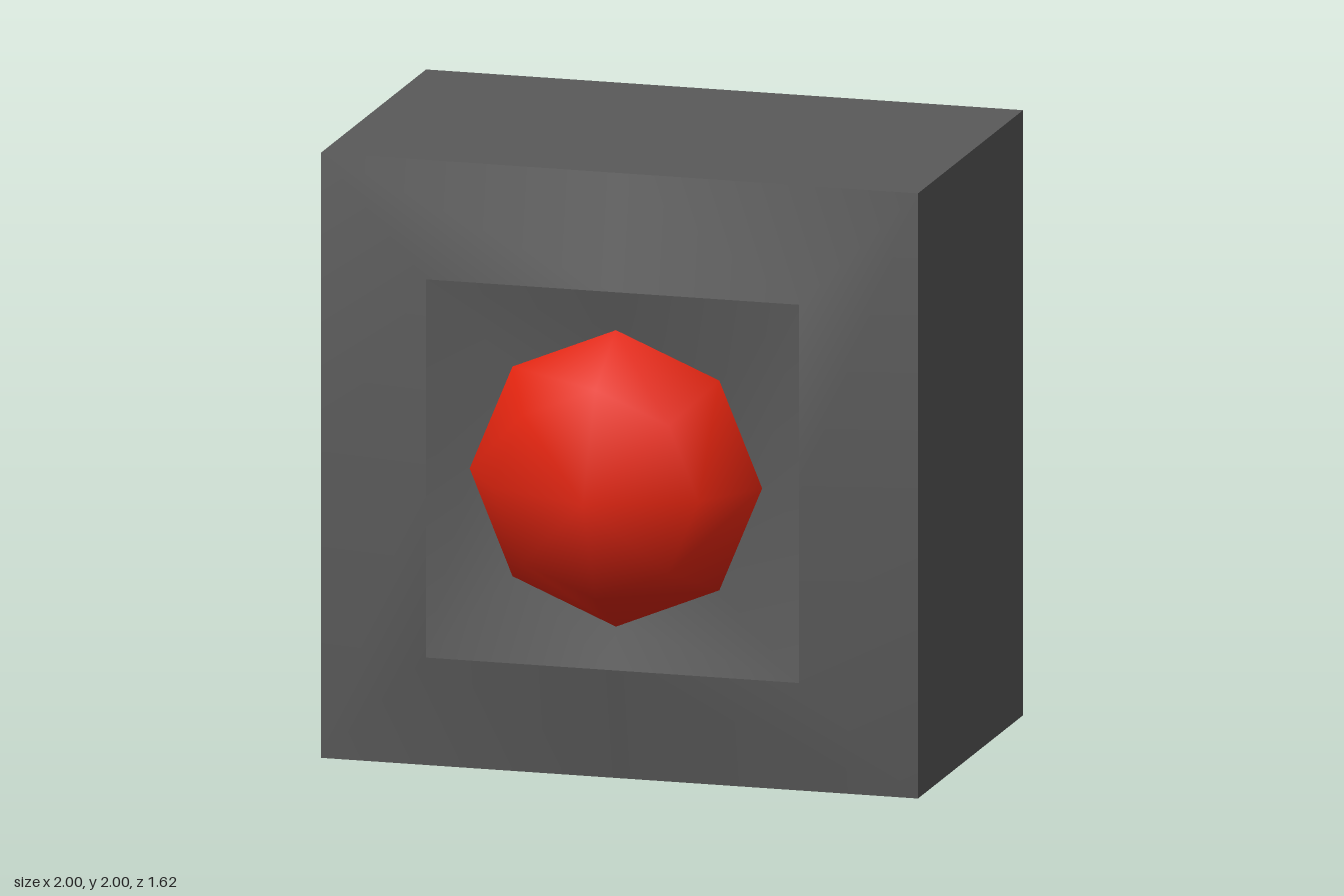
import * as THREE from 'three';
import { mergeVertices } from 'three/addons/utils/BufferGeometryUtils.js';

const CY = 1; // height of the button axis

// Eight points around the z axis, on a square or an octagon
function ring(r, z, square = false) {
  return Array.from({ length: 8 }, (_, i) => {
    const a = i * Math.PI / 4;
    const s = square && i % 2 ? r * Math.SQRT2 : r;
    return [s * Math.cos(a), CY + s * Math.sin(a), z];
  });
}

// Smooth skin through rings running from the outside towards the axis
function loft(rings) {
  const index = [];
  for (let k = 0; k < rings.length - 1; k++) {
    for (let i = 0; i < 8; i++) {
      const j = (i + 1) % 8, a = k * 8, b = a + 8;
      index.push(a + i, a + j, b + i, a + j, b + j, b + i);
    }
  }
  const g = new THREE.BufferGeometry();
  g.setAttribute('position', new THREE.Float32BufferAttribute(rings.flat(2), 3));
  g.setIndex(index);
  const merged = mergeVertices(g, 1e-5);
  merged.computeVertexNormals();
  return merged;
}

export function createModel() {
  const grey = new THREE.MeshStandardMaterial({ name: 'darkGrey', color: 0x5a5a5a });
  const red = new THREE.MeshStandardMaterial({ name: 'red', color: 0xe0240f });
  const group = new THREE.Group();
  const add = (name, geometry, material) => {
    const mesh = new THREE.Mesh(geometry, material);
    mesh.name = name;
    group.add(mesh);
    return mesh;
  };

  // Block housing
  add('housing', new THREE.BoxGeometry(2, 2, 1.2), grey).position.set(0, CY, -0.21);

  // Sloped front frame and the shallow recess inside it
  add('frontFrame', loft([ring(1, 0.39, true), ring(0.625, 0.47, true)]), grey);
  add('recess', loft([ring(0.625, 0.47, true), ring(0.49, 0.43)]), grey);

  // Faceted, smooth-shaded push button
  add('button', loft([ring(0.49, 0.43), ring(0.346, 0.665), ring(0, 0.81)]), red);

  return group;
}
